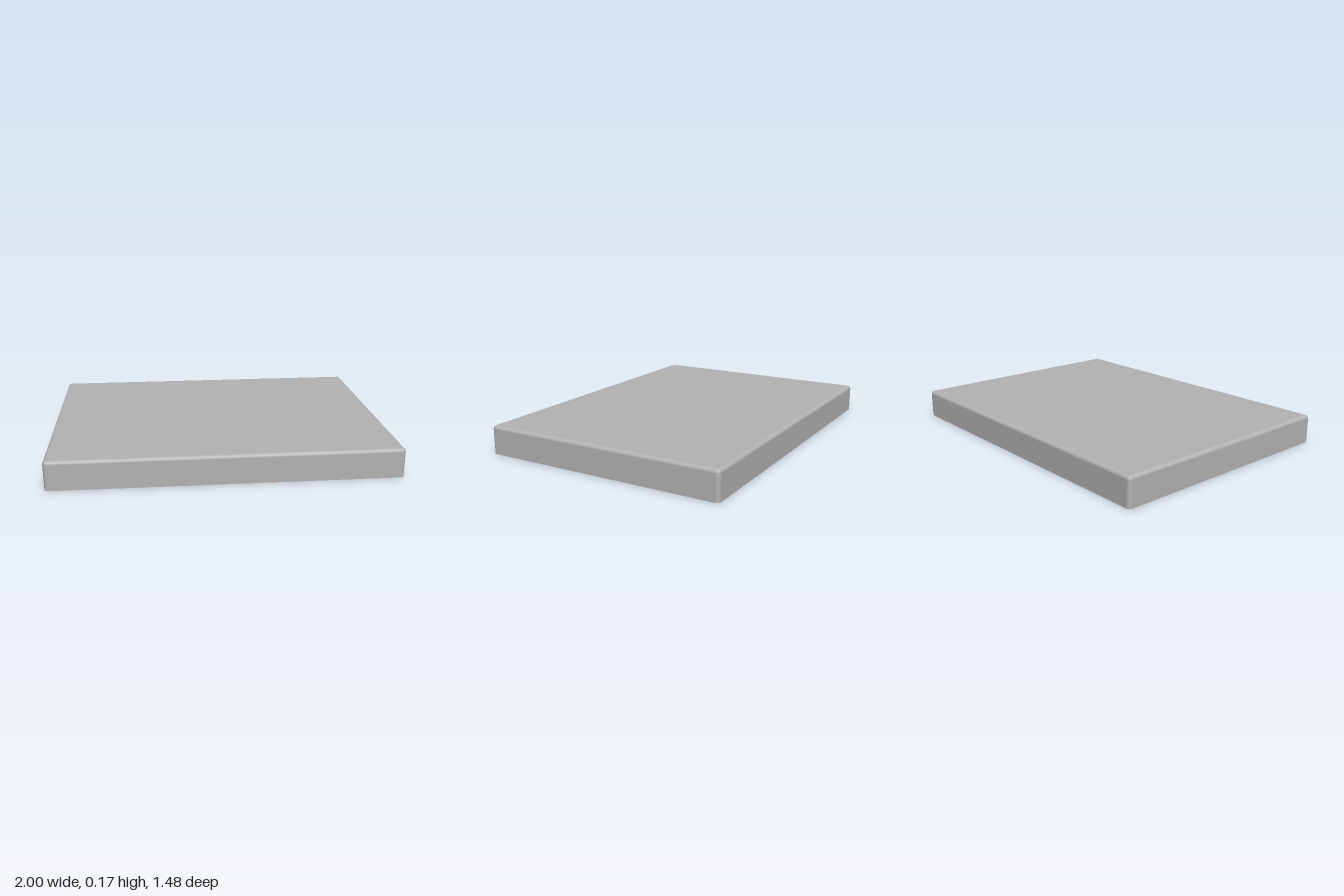
import * as THREE from 'three';

const HX = 1, HZ = 0.74, H = 0.17;          // half width, half depth, height
const WALL = 0.025, CEIL = 0.139, FLOOR = 0.163; // wall thickness, ceiling underside, pocket floor
const ROUND = 0.02;

// Points of a rounded rectangle, inset from the outer footprint
function outline(inset) {
  const r = Math.max(0.022 - inset, 0.003), pts = [];
  const corners = [[1, 1], [-1, 1], [-1, -1], [1, -1]];
  corners.forEach(([sx, sz], c) => {
    for (let k = 0; k <= 5; k++) {
      const a = (c + k / 5) * Math.PI / 2;
      pts.push(new THREE.Vector2(
        sx * (HX - inset - r) + r * Math.cos(a),
        sz * (HZ - inset - r) + r * Math.sin(a)));
    }
  });
  return pts;
}

// Skin between successive [inset, y] loops
function loft(profile) {
  const pos = [], idx = [];
  let n = 0;
  profile.forEach(([inset, y], j) => {
    const loop = outline(inset);
    n = loop.length;
    loop.forEach((p) => pos.push(p.x, y, p.y));
    if (j === 0) return;
    for (let i = 0; i < n; i++) {
      const a = (j - 1) * n + i, b = (j - 1) * n + (i + 1) % n;
      idx.push(a, a + n, b, b, a + n, b + n);
    }
  });
  const g = new THREE.BufferGeometry();
  g.setAttribute('position', new THREE.Float32BufferAttribute(pos, 3));
  g.setIndex(idx);
  g.computeVertexNormals();
  return g;
}

export function createModel() {
  const group = new THREE.Group();
  const grey = new THREE.MeshStandardMaterial({ color: 0xb3b3b3 });
  grey.name = 'grey plastic';
  const add = (name, geometry, y = 0) => {
    const m = new THREE.Mesh(geometry, grey);
    m.name = name;
    m.position.y = y;
    group.add(m);
    return m;
  };

  // Walls: inside face, bottom rim, then outside face with a rounded top edge
  const outside = [[0, 0]];
  for (let k = 0; k <= 6; k++) {
    const a = k / 6 * Math.PI / 2;
    outside.push([ROUND * (1 - Math.cos(a)), H - ROUND + ROUND * Math.sin(a)]);
  }
  add('innerWalls', loft([[WALL, CEIL], [WALL, 0]]));
  add('bottomRim', loft([[WALL, 0], [0, 0]]));
  add('outerWalls', loft(outside));

  // Flat top
  add('topFace', new THREE.ShapeGeometry(new THREE.Shape(outline(ROUND))).rotateX(-Math.PI / 2), H);

  // Underside sheet with staggered hexagonal pockets
  const sheet = new THREE.Shape(outline(WALL));
  const pitch = 0.185, radius = 0.075 / Math.cos(Math.PI / 6);
  for (let row = 0; row < 8; row++) {
    const cz = (row - 3.5) * 0.16, shift = (row % 2 ? -1 : 1) * pitch / 4;
    for (let col = 0; col < 9; col++) {
      const cx = (col - 4) * pitch + shift, hex = [];
      for (let k = 0; k < 6; k++) {
        const a = Math.PI / 6 - k * Math.PI / 3;
        hex.push(new THREE.Vector2(cx + radius * Math.cos(a), cz + radius * Math.sin(a)));
      }
      sheet.holes.push(new THREE.Path(hex));
    }
  }
  const comb = new THREE.ExtrudeGeometry(sheet, { depth: FLOOR - CEIL, bevelEnabled: false });
  add('honeycombSheet', comb.rotateX(Math.PI / 2), FLOOR);
  add('pocketFloor', new THREE.ShapeGeometry(new THREE.Shape(outline(WALL))).rotateX(Math.PI / 2), FLOOR);

  // Snap bumps on the inside of the front and back walls
  for (const sx of [-1, 1]) for (const sz of [-1, 1]) {
    const bump = add('snapBump', new THREE.SphereGeometry(0.016, 16, 12), 0.072);
    bump.position.x = sx * 0.635;
    bump.position.z = sz * (HZ - WALL);
  }
  return group;
}
